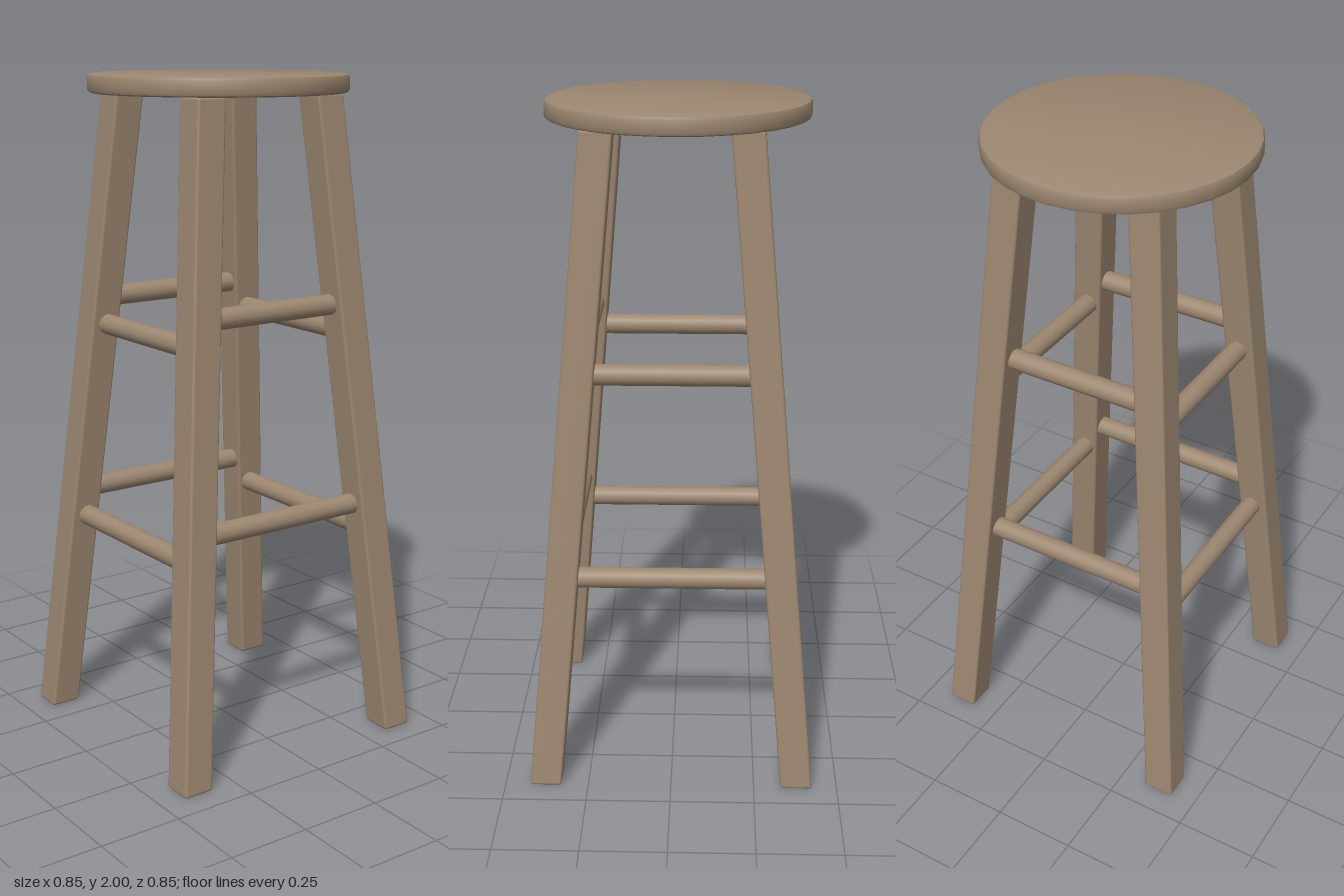
import * as THREE from 'three';
import { RoundedBoxGeometry } from 'three/addons/geometries/RoundedBoxGeometry.js';
import { toCreasedNormals } from 'three/addons/utils/BufferGeometryUtils.js';

const LEG_TOP = 1.945, FOOT = 0.378, HEAD = 0.207, LEG_W = 0.094;

// Distance of a leg's centre line from the middle, along x and along z
const legOffset = (y) => FOOT + (HEAD - FOOT) * (y / LEG_TOP);

export function createModel() {
  const group = new THREE.Group();
  group.name = 'stool';
  const wood = new THREE.MeshStandardMaterial({ color: 0x9c8770 });
  wood.name = 'brown wood';

  const add = (name, geometry, x = 0, y = 0, z = 0) => {
    const mesh = new THREE.Mesh(geometry, wood);
    mesh.name = name;
    mesh.position.set(x, y, z);
    group.add(mesh);
    return mesh;
  };

  // Round seat with softened rims, sitting slightly off centre
  const R = 0.382, b = 0.012;
  const profile = [
    [0, 1.945], [R - b, 1.945], [R - b * 0.3, 1.945 + b * 0.3], [R, 1.945 + b],
    [R, 2 - b], [R - b * 0.3, 2 - b * 0.3], [R - b, 2], [0, 2],
  ].map(([r, y]) => new THREE.Vector2(r, y));
  add('seat', toCreasedNormals(new THREE.LatheGeometry(profile, 32), 0.7), -0.01);

  // Four square legs, sheared so that the feet splay outwards
  const lean = (HEAD - FOOT) / LEG_TOP;
  for (const sx of [1, -1]) {
    for (const sz of [1, -1]) {
      const leg = new RoundedBoxGeometry(LEG_W, LEG_TOP, LEG_W, 2, 0.008);
      leg.applyMatrix4(new THREE.Matrix4().makeShear(0, 0, lean * sx, lean * sz, 0, 0));
      const d = legOffset(LEG_TOP / 2);
      add(`${sz > 0 ? 'front' : 'back'}${sx > 0 ? 'Left' : 'Right'}Leg`, leg, sx * d, LEG_TOP / 2, sz * d);
    }
  }

  // Round rungs: front and back ones sit lower than the side ones
  const addRung = (name, y, side, alongX) => {
    const d = legOffset(y);
    const rung = new THREE.CylinderGeometry(0.031, 0.031, d * 2 - 0.04, 20);
    if (alongX) rung.rotateZ(Math.PI / 2);
    else rung.rotateX(Math.PI / 2);
    const out = side * (d - 0.006);
    add(name, rung, alongX ? 0 : out, y, alongX ? out : 0);
  };
  for (const [level, y] of [['lower', 0.645], ['upper', 1.255]]) {
    for (const side of [1, -1]) {
      addRung(`${level}${side > 0 ? 'Front' : 'Back'}Rung`, y, side, true);
      addRung(`${level}${side > 0 ? 'Left' : 'Right'}Rung`, y + 0.08, side, false);
    }
  }
  return group;
}
